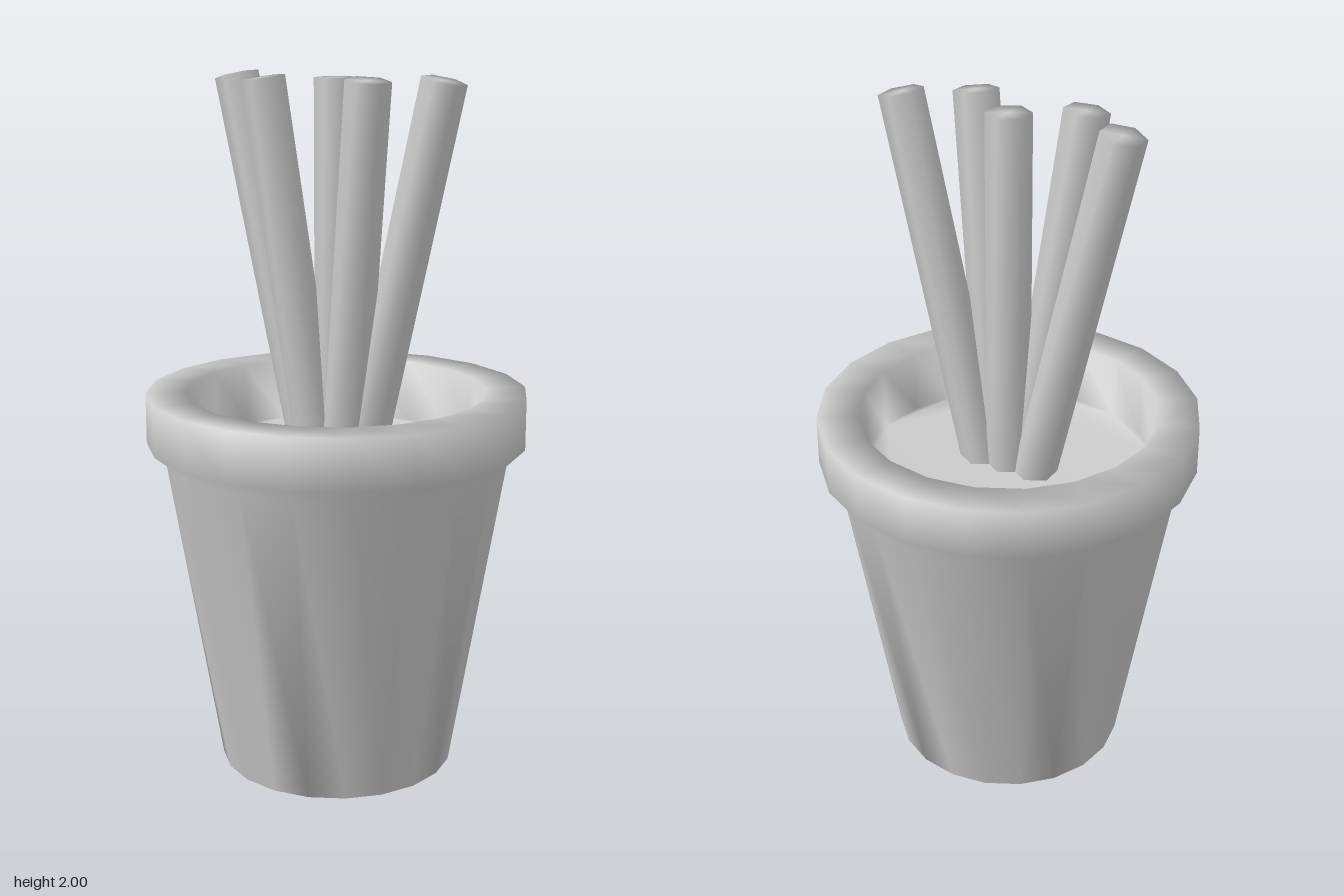
import * as THREE from 'three';
import { mergeGeometries, mergeVertices } from 'three/addons/utils/BufferGeometryUtils.js';

const SIDES = 20;

// Join parts and share vertices so the shading is smooth across every edge
function smooth(parts) {
  const bare = parts.map((g) => {
    const p = g.index ? g.toNonIndexed() : g;
    p.deleteAttribute('normal');
    p.deleteAttribute('uv');
    return p;
  });
  const merged = mergeVertices(mergeGeometries(bare), 1e-4);
  merged.computeVertexNormals();
  return merged;
}

// Flat polygon cap matching a ring of the pot
function cap(radius, y, facing) {
  const ring = [];
  for (let i = 0; i < SIDES; i++) {
    const a = (i / SIDES) * Math.PI * 2;
    ring.push(new THREE.Vector2(radius * Math.sin(a), radius * Math.cos(a)));
  }
  return new THREE.ShapeGeometry(new THREE.Shape(ring))
    .rotateX(-facing * Math.PI / 2)
    .translate(0, y, 0);
}

export function createModel() {
  const model = new THREE.Group();
  model.name = 'pottedSticks';
  const grey = new THREE.MeshStandardMaterial({ color: 0xcccccc });
  grey.name = 'light grey';

  // Tapered pot with a thick rim and a recessed fill
  const profile = [
    [0.34, 0], [0.495, 0.925], [0.545, 0.965],
    [0.545, 1.11], [0.43, 1.11], [0.423, 0.93],
  ].map(([r, y]) => new THREE.Vector2(r, y));
  const pot = new THREE.Mesh(smooth([
    new THREE.LatheGeometry(profile, SIDES),
    cap(0.34, 0, -1),
    cap(0.423, 0.93, 1),
  ]), grey);
  pot.name = 'pot';
  model.add(pot);

  // Six-sided sticks fanning out from one point inside the pot
  const root = new THREE.Vector3(0, 0.55, 0);
  const up = new THREE.Vector3(0, 1, 0);
  const tips = [
    ['centreStick', 0, 0],
    ['leftOuterStick', 0.333, 0], ['rightOuterStick', -0.333, 0],
    ['leftFrontStick', 0.168, 0.115], ['rightFrontStick', -0.168, 0.115],
  ];
  for (const [name, x, z] of tips) {
    const axis = new THREE.Vector3(x, 1.988, z).sub(root);
    const length = axis.length();
    const geometry = smooth([new THREE.CylinderGeometry(0.063, 0.063, length, 6)]);
    geometry.translate(0, length / 2, 0);
    const stick = new THREE.Mesh(geometry, grey);
    stick.name = name;
    stick.position.copy(root);
    stick.quaternion.setFromUnitVectors(up, axis.normalize());
    model.add(stick);
  }
  return model;
}
